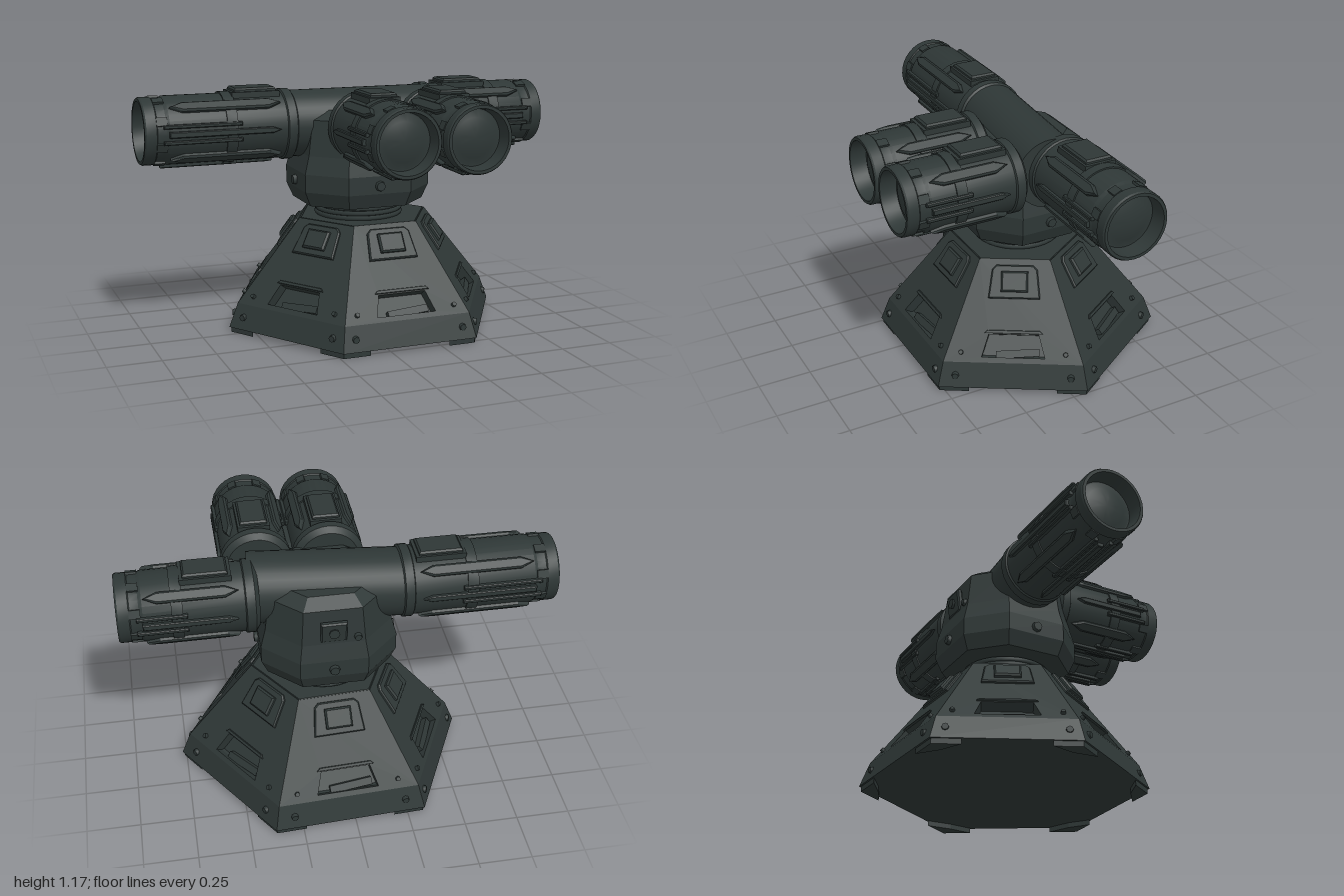
import * as THREE from 'three';
import { toCreasedNormals } from 'three/addons/utils/BufferGeometryUtils.js';

const metal = new THREE.MeshStandardMaterial({ color: 0x2e3736 });
metal.name = 'dark green-grey metal';
const RAD = Math.PI / 180;

function add(parent, name, geo, x = 0, y = 0, z = 0) {
  const m = new THREE.Mesh(geo, metal);
  m.name = name;
  m.position.set(x, y, z);
  parent.add(m);
  return m;
}

// Flat-shaded solid through stacked horizontal rings; levels are [y, scale], outline runs counterclockwise from above
function loft(outline, levels) {
  const n = outline.length, pos = [];
  const p = (l, i) => [outline[i % n][0] * l[1], l[0], outline[i % n][1] * l[1]];
  const first = levels[0], last = levels[levels.length - 1];
  for (let i = 0; i < n; i++) {
    for (let k = 0; k < levels.length - 1; k++) {
      const a = p(levels[k], i), b = p(levels[k], i + 1), c = p(levels[k + 1], i + 1), d = p(levels[k + 1], i);
      pos.push(...a, ...b, ...c, ...a, ...c, ...d);
    }
    pos.push(0, last[0], 0, ...p(last, i), ...p(last, i + 1));
    pos.push(0, first[0], 0, ...p(first, i + 1), ...p(first, i));
  }
  const g = new THREE.BufferGeometry();
  g.setAttribute('position', new THREE.Float32BufferAttribute(pos, 3));
  g.computeVertexNormals();
  return g;
}

const vecs = pts => pts.map(q => new THREE.Vector2(q[0], q[1]));
const shapeOf = pts => new THREE.Shape(vecs(pts));

// Plate with chamfered rim, standing on z = 0
function plate(pts, depth, bevel) {
  return new THREE.ExtrudeGeometry(shapeOf(pts), {
    depth: depth - bevel, bevelEnabled: true, bevelThickness: bevel, bevelSize: bevel, bevelOffset: -bevel, bevelSegments: 1,
  });
}
const rect = (w, y0, y1) => [[-w, y0], [w, y0], [w, y1], [-w, y1]];

// Bolt head pointing along +z
const bolt = r => new THREE.CylinderGeometry(r * 0.8, r, 0.025, 8).rotateX(Math.PI / 2);

function makeBase() {
  const base = new THREE.Group();
  base.name = 'base';
  base.position.set(0.08, 0, -0.06);
  // Slightly uneven six-sided footprint as [x, z]
  const corners = [[0.69, 0], [0.3, -0.61], [-0.41, -0.575], [-0.69, 0.02], [-0.32, 0.59], [0.34, 0.59]];
  const LOW = 0.935, HIGH = 0.475;
  add(base, 'baseCore', loft(corners, [[0.025, 1], [0.14, LOW], [0.14, LOW - 0.1], [0.525, HIGH - 0.1]]));
  add(base, 'baseTop', loft(corners, [[0.49, 0.505], [0.53, 0.463]]));

  corners.forEach((a, i) => {
    const b = corners[(i + 1) % 6], prev = corners[(i + 5) % 6];
    const len = Math.hypot(b[0] - a[0], b[1] - a[1]);
    const tx = (b[0] - a[0]) / len, tz = (b[1] - a[1]) / len;
    const reach = a[1] * tx - a[0] * tz;
    const ta = a[0] * tx + a[1] * tz, tb = ta + len, mid = (ta + tb) / 2;
    const run = reach * (LOW - HIGH), slant = Math.hypot(run, 0.39);

    const side = new THREE.Group();
    side.name = 'baseSide';
    side.rotation.y = Math.atan2(-tz, tx);
    base.add(side);
    const slope = new THREE.Group();
    slope.name = 'slopingWall';
    slope.position.set(0, 0.14, reach * LOW);
    slope.rotation.x = -Math.atan(run / 0.39);
    side.add(slope);

    // Sloping wall with a tapered window
    const wall = shapeOf([[ta * LOW, 0], [tb * LOW, 0], [tb * HIGH, slant], [ta * HIGH, slant]]);
    const cx = mid * 0.85;
    wall.holes.push(new THREE.Path(vecs([[cx - 0.145, 0.025], [cx - 0.115, 0.13], [cx + 0.115, 0.13], [cx + 0.145, 0.025]])));
    add(slope, 'wall', new THREE.ExtrudeGeometry(wall, { depth: 0.05, bevelEnabled: false }), 0, 0, -0.05);
    add(slope, 'windowSill', new THREE.BoxGeometry(0.2, 0.035, 0.03), cx + 0.02, 0.045, -0.035).rotation.z = 0.08;
    add(slope, 'windowBrow', plate([[-0.135, 0.135], [0.135, 0.135], [0.12, 0.15], [-0.12, 0.15]], 0.008, 0.002), cx);
    // Stepped hatch near the top
    const hx = mid * 0.58;
    add(slope, 'hatchFrame', plate([[-0.12, 0.295], [0.12, 0.295], [0.105, 0.43], [0.085, 0.45], [-0.085, 0.45], [-0.105, 0.43]], 0.014, 0.006), hx);
    add(slope, 'hatch', plate(rect(0.062, 0.325, 0.42), 0.032, 0.008), hx);
    for (const s of [-1, 1]) {
      add(slope, 'wallBolt', bolt(0.013), cx + s * 0.24, 0.045, 0.002);
      add(side, 'skirtBolt', bolt(0.019), mid + s * 0.265, 0.08, reach * 0.967);
    }
    // Foot plate under each corner
    const mix = (d, t) => [0.985 * (a[0] + (d[0] - a[0]) * t), -0.985 * (a[1] + (d[1] - a[1]) * t)];
    const kite = shapeOf([mix(a, 0), mix(b, 0.2), mix([0, 0], 0.12), mix(prev, 0.2)]);
    add(base, 'foot', new THREE.ExtrudeGeometry(kite, { depth: 0.03, bevelEnabled: false }).rotateX(-Math.PI / 2));
  });

  // Ribbed neck
  add(base, 'neck', new THREE.CylinderGeometry(0.195, 0.195, 0.1, 32), -0.018, 0.57, -0.012);
  for (const y of [0.542, 0.565, 0.588]) {
    add(base, 'neckRib', new THREE.TorusGeometry(0.203, 0.012, 6, 32).rotateX(Math.PI / 2), -0.018, y, -0.012);
  }
  return base;
}

function makeTurret() {
  const turret = new THREE.Group();
  turret.name = 'turret';
  turret.position.set(0.058, 0, -0.078);
  const octagon = [[1.05, 0.48], [1.05, -0.48], [0.52, -1], [-0.52, -1], [-1.05, -0.48], [-1.05, 0.48], [-0.52, 1], [0.52, 1]];
  add(turret, 'turretBody', loft(octagon, [[0.605, 0.272], [0.675, 0.3], [0.76, 0.3], [0.845, 0.278], [1.012, 0.256], [1.055, 0.2]]));
  for (let i = 0; i < 4; i++) {
    const face = new THREE.Group();
    face.name = 'turretFace';
    face.rotation.y = i * Math.PI / 2;
    turret.add(face);
    const wide = i % 2 ? 1.05 : 1;
    add(face, 'turretBolt', bolt(0.027), 0, 0.713, 0.304 * wide);
    add(face, 'upperBolt', bolt(0.02), i % 2 ? -0.11 : 0.11, 0.87, 0.277 * wide);
  }
  // Rear access panel
  const panel = add(turret, 'rearPanel', plate(rect(0.06, -0.055, 0.055), 0.02, 0.007), 0, 0.91, -0.268);
  panel.rotation.set(-0.13, Math.PI, 0);
  add(turret, 'rearPanelKnob', bolt(0.025), 0, 0.91, -0.287);
  return turret;
}

// Launcher pod facing +z with its muzzle at z = 0; block is the distance of the top block from the muzzle
function makePod(name, length, block) {
  const pod = new THREE.Group();
  pod.name = name;
  const R = 0.16;
  const profile = [[0, -length], [0.14, -length], [0.168, -length + 0.02], [0.168, -length + 0.06], [R, -length + 0.065],
    [R, -0.115], [0.152, -0.1], [0.152, -0.06], [0.157, -0.055], [0.157, -0.008], [0.152, 0], [0.138, 0], [0.13, -0.075],
    [0.122, -0.075], [0.09, -0.062], [0.045, -0.053], [0, -0.05]];
  const shell = new THREE.LatheGeometry(vecs(profile), 32).rotateX(Math.PI / 2);
  add(pod, 'podShell', toCreasedNormals(shell, 0.5));
  const b0 = block - 0.1, b1 = block + 0.1;
  add(pod, 'podBand', toCreasedNormals(new THREE.CylinderGeometry(0.167, 0.167, 0.05, 32).rotateX(Math.PI / 2), 0.5), 0, 0, -(b0 - 0.035));
  add(pod, 'topBlockBase', new THREE.BoxGeometry(0.15, 0.03, 0.23), 0, 0.153, -block);
  add(pod, 'topBlock', plate(rect(0.064, b0, b1), 0.045, 0.008).rotateX(-Math.PI / 2), 0, 0.14, 0);

  // Pointed fins on the diagonals, paired prongs on the sides and underneath
  const end = length - 0.09;
  const fin = plate([[0, 0.12], [0.026, 0.18], [0.026, end - 0.06], [0, end], [-0.026, end - 0.06], [-0.026, 0.18]], 0.022, 0.008)
    .rotateX(-Math.PI / 2);
  const longBar = plate([[-0.014, 0.11], [0.014, 0.11], [0.014, end - 0.05], [0, end - 0.01], [-0.014, end - 0.05]], 0.022, 0.004)
    .rotateX(-Math.PI / 2);
  const prong = plate(rect(0.009, 0.085, b0 + 0.01), 0.02, 0.004).rotateX(-Math.PI / 2);
  for (let k = 1; k < 8; k++) {
    const spoke = new THREE.Group();
    spoke.name = 'podTrim';
    spoke.rotation.z = k * 45 * RAD;
    pod.add(spoke);
    if (k % 2) {
      add(spoke, 'fin', fin, 0, R - 0.004, 0);
    } else {
      add(spoke, 'longBar', longBar, 0, R - 0.007, 0);
      for (const s of [-1, 1]) add(spoke, 'prong', prong, s * 0.037, R - 0.01, 0);
    }
  }
  // Small clamps around the muzzle
  for (let k = 0; k < 8; k++) {
    const clamp = new THREE.Group();
    clamp.name = 'muzzleClamp';
    clamp.rotation.z = (k + 0.5) * 45 * RAD;
    pod.add(clamp);
    add(clamp, 'clampPlate', new THREE.BoxGeometry(0.04, 0.016, 0.05), 0, 0.153, -0.08);
  }
  return pod;
}

export function createModel() {
  const model = new THREE.Group();
  model.name = 'launcherTurret';
  model.add(makeBase(), makeTurret());

  // Cross body joining the two side pods
  const body = add(model, 'crossBody', toCreasedNormals(new THREE.CylinderGeometry(0.166, 0.158, 0.72, 32).rotateZ(-Math.PI / 2), 0.5), 0.05, 0.98, -0.085);
  body.rotation.y = -0.09;
  add(model, 'frontYoke', new THREE.BoxGeometry(0.42, 0.16, 0.22), 0.17, 0.935, 0.07);

  const pods = [
    ['rightPod', 0.735, 0.54, [-1, 0.98, -0.113], -Math.PI / 2],
    ['leftPod', 0.63, 0.4, [1, 0.98, -0.113], Math.PI / 2],
    ['frontRightPod', 0.577, 0.39, [0.003, 0.985, 0.684], 0],
    ['frontLeftPod', 0.577, 0.39, [0.342, 0.985, 0.684], 0],
  ];
  for (const [name, length, block, at, yaw] of pods) {
    const pod = makePod(name, length, block);
    pod.position.set(...at);
    pod.rotation.y = yaw;
    model.add(pod);
  }
  return model;
}
